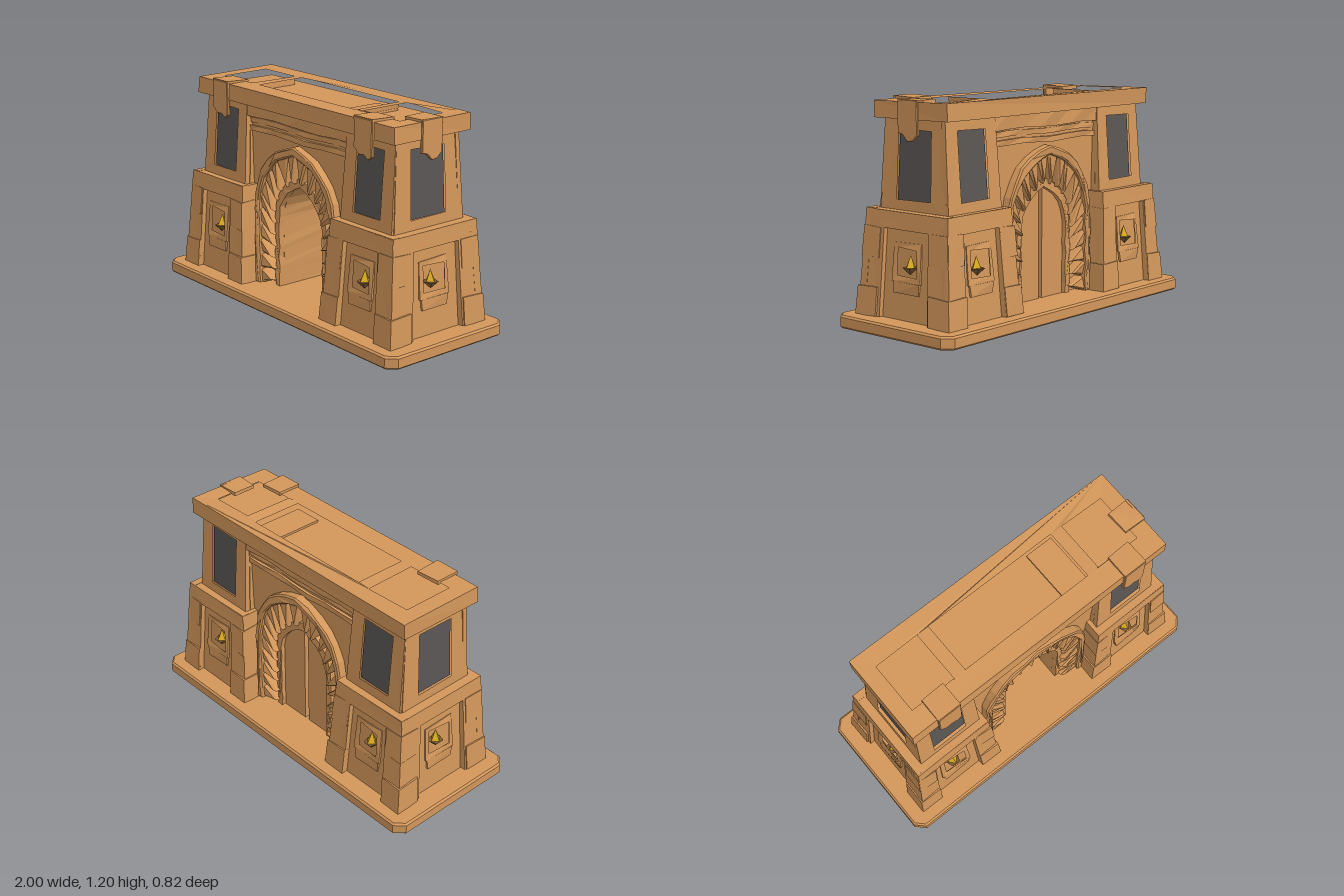
import * as THREE from 'three';

const mat = (name, color, extra = {}) => Object.assign(new THREE.MeshStandardMaterial({ color, flatShading: true, ...extra }), { name });
const V = (x, y) => new THREE.Vector2(x, y);

export function createModel() {
  const sand = mat('sandstone', 0xd2965a);
  const slate = mat('slate', 0x5a5654);
  const gold = mat('gold', 0xe0b020);
  const bronze = mat('bronze', 0x7d5c34);
  const root = new THREE.Group();
  root.name = 'desertGate';

  const add = (parent, name, geo, material = sand) => {
    const m = new THREE.Mesh(geo, material);
    m.name = name;
    parent.add(m);
    return m;
  };
  // move every vertex by a rule
  const warp = (geo, rule) => {
    const p = geo.attributes.position, v = new THREE.Vector3();
    for (let i = 0; i < p.count; i++) {
      rule(v.fromBufferAttribute(p, i));
      p.setXYZ(i, v.x, v.y, v.z);
    }
    geo.computeVertexNormals();
    return geo;
  };
  // slight hand-hewn irregularity, the same for equal positions
  const hew = (geo, a = 0.005) => warp(geo, v => {
    const { x, y, z } = v;
    v.x += a * Math.sin(41 * y + 23 * z + 17 * x);
    v.y += a * Math.sin(37 * x + 19 * z + 5 * y);
    v.z += a * Math.sin(29 * x + 43 * y + 13 * z);
  });
  const box = (w, h, d, x, y, z, seg = 1) => new THREE.BoxGeometry(w, h, d, seg, 1, 1).translate(x, y, z);
  const extrude = (shape, depth, bevel = 0) => new THREE.ExtrudeGeometry(shape, {
    depth: depth - 2 * bevel, bevelEnabled: bevel > 0, bevelThickness: bevel, bevelSize: bevel,
    bevelOffset: -bevel, bevelSegments: 1, curveSegments: 3,
  }).translate(0, 0, bevel);
  const rectPts = (x0, x1, y0, y1) => [V(x0, y0), V(x0, y1), V(x1, y1), V(x1, y0)];
  // a band between two outlines that both start and end at the ground
  const band = (outer, inner) => new THREE.Shape([...outer, ...inner.slice().reverse()]);
  const holed = (outer, ...holes) => {
    const s = new THREE.Shape(outer);
    s.holes = holes.map(h => new THREE.Path(h));
    return s;
  };

  // base slab
  const c = 0.05, slab = new THREE.Shape([V(-1 + c, -0.41), V(1 - c, -0.41), V(1, -0.41 + c), V(1, 0.41 - c),
    V(1 - c, 0.41), V(-1 + c, 0.41), V(-1, 0.41 - c), V(-1, -0.41 + c)]);
  add(root, 'baseSlab', extrude(slab, 0.07, 0.01).rotateX(-Math.PI / 2));

  // towers: one is the other turned half way round
  for (const side of [1, -1]) {
    const tower = new THREE.Group();
    tower.name = side > 0 ? 'leftTower' : 'rightTower';
    tower.rotation.y = side > 0 ? 0 : Math.PI;
    root.add(tower);

    const storey = (cx, hx, hz, y0, y1, sx, sz) => {
      const taper = geo => warp(geo, v => {
        const t = (v.y - y0) / (y1 - y0);
        v.x = cx + v.x * (1 - (1 - sx) * t);
        v.z *= 1 - (1 - sz) * t;
      });
      const faces = [[0, hx, hz], [Math.PI, hx, hz], [Math.PI / 2, hz - 0.01, hx]];
      return { taper, faces };
    };

    // lower storey
    {
      const hx = 0.275, hz = 0.33, y0 = 0.07, y1 = 0.63, inset = 0.085;
      const { taper, faces } = storey(0.63, hx, hz, y0, y1, 0.87, 0.88);
      add(tower, 'lowerCore', taper(box(2 * hx - inset, y1 - y0, 2 * (hz - inset), -inset / 2, 0.35, 0)));
      add(tower, 'lowerTop', taper(box(2 * hx, 0.05, 2 * hz, 0, 0.605, 0)));
      add(tower, 'innerSide', taper(box(0.08, y1 - y0, 2 * hz - 0.02, -hx + 0.04, 0.35, 0)));
      for (const [angle, half, dist] of faces) {
        const wide = angle === Math.PI / 2, pw = wide ? 0.175 : 0.15, n = wide ? 0.085 : 0.08;
        const put = (name, geo, z, m) => add(tower, name, taper(geo.translate(0, 0, z).rotateY(angle)), m);
        put('panelSurround', hew(extrude(band(rectPts(-half, half, y0, y1), rectPts(-pw, pw, y0, 0.54)), 0.05), 0.003), dist - 0.05);
        put('nichePanel', extrude(holed(rectPts(-pw - 0.02, pw + 0.02, y0, 0.56), rectPts(-n, n, 0.29, 0.46)), 0.06), dist - 0.09);
        put('nicheRim', hew(extrude(holed(rectPts(-n - 0.02, n + 0.015, 0.275, 0.475),
          rectPts(-n + 0.015, n - 0.015, 0.305, 0.445)), 0.02), 0.006), dist - 0.04);
        put('nicheSill', hew(box(2 * n + 0.02, 0.06, 0.02, 0, 0.245, 0), 0.006), dist - 0.03);
        put('lampBowl', new THREE.ConeGeometry(0.045, 0.04, 5).rotateX(Math.PI).translate(0, 0.325, 0), dist - 0.05, bronze);
        put('lampFlame', new THREE.ConeGeometry(0.034, 0.07, 4).translate(0, 0.375, 0), dist - 0.05, gold);
      }
      // corner stones
      for (const x of [-1, 1]) for (const z of [-1, 1]) {
        add(tower, 'footStone', taper(hew(box(0.135, 0.155, 0.15, x * (hx - 0.058), 0.147, z * (hz - 0.066)), 0.004)));
        add(tower, 'cornerStone', taper(hew(box(0.12, 0.16, 0.14, x * (hx - 0.056), 0.46, z * (hz - 0.066)), 0.004)));
      }
    }

    // upper storey
    {
      const hx = 0.2, hz = 0.245, y0 = 0.62, y1 = 1.11, inset = 0.03;
      const { taper, faces } = storey(0.615, hx, hz, y0, y1, 0.92, 0.88);
      add(tower, 'upperCore', taper(box(2 * hx - inset, y1 - y0, 2 * (hz - inset), -inset / 2, 0.865, 0)));
      for (const [angle, half, dist] of faces) {
        const w = angle === Math.PI / 2 ? 0.125 : 0.108;
        const put = (name, geo, z, m) => add(tower, name, taper(geo.translate(0, 0, z).rotateY(angle)), m);
        put('windowFrame', hew(extrude(holed(rectPts(-half, half, y0, y1), rectPts(-w, w, 0.685, 1.045)), inset), 0.003), dist - inset);
        put('windowPane', box(2 * w + 0.01, 0.37, 0.008, 0, 0.865, 0), dist - inset + 0.012, slate);
      }
    }
  }

  // pointed arch outline, from foot to foot
  const arch = (w, spring, top, n = 24) => new THREE.Path().moveTo(-w, 0.07).lineTo(-w, spring)
    .quadraticCurveTo(-w * 0.93, top - 0.06, 0, top)
    .quadraticCurveTo(w * 0.93, top - 0.06, w, spring).lineTo(w, 0.07).getSpacedPoints(n);
  const deep = (shape, half, bevel) => extrude(shape, 2 * half, bevel).translate(0, 0, -half);

  const outer = arch(0.355, 0.53, 0.92), mid = arch(0.315, 0.52, 0.87);
  const lip = arch(0.225, 0.5, 0.74), open = arch(0.188, 0.48, 0.69);
  const gate = new THREE.Group();
  gate.name = 'gatehouse';
  root.add(gate);
  add(gate, 'wall', deep(band(rectPts(-0.45, 0.45, 0.07, 1.11), mid), 0.185));
  add(gate, 'archBacking', deep(band(outer, open), 0.15));
  add(gate, 'archMoulding', hew(deep(band(outer, mid), 0.235, 0.008), 0.004));
  add(gate, 'doorSurround', hew(deep(band(lip, open), 0.185), 0.003));

  // carved wedge stones around the arch
  const teethOut = arch(0.325, 0.52, 0.88, 22), teethIn = arch(0.21, 0.5, 0.72, 44);
  for (let i = 0; i < 22; i++) {
    const tri = new THREE.Shape([teethOut[i], teethOut[i + 1], teethIn[2 * i + 1]]);
    add(gate, 'wedgeStone', hew(deep(tri, 0.215, 0.012), 0.006));
  }

  // cornice courses under the roof
  [[0.955, 0.03, 0.2], [1.0, 0.03, 0.192], [1.065, 0.08, 0.212]].forEach(([y, h, z]) =>
    add(gate, 'corniceCourse', hew(box(0.9, h, 2 * z, 0, y, 0, 7), 0.005)));

  // two door leaves with a narrow gap
  const [leafA, leafB] = [-1, 1].map(s => {
    const gap = s < 0 ? -0.012 : 0.016;
    const edge = open.filter(p => p.x * s > 0.02);
    const pts = s < 0 ? [...edge, V(gap, 0.685), V(gap, 0.07)] : [V(gap, 0.07), V(gap, 0.685), ...edge];
    return extrude(new THREE.Shape(pts), 0.035).translate(0, 0, -0.16);
  });
  add(gate, 'rightDoor', leafA);
  add(gate, 'leftDoor', leafB);

  // roof slab with three sunken trays
  const roof = new THREE.Group();
  roof.name = 'roof';
  root.add(roof);
  const rim = holed(rectPts(-0.835, 0.835, -0.26, 0.26), rectPts(-0.75, -0.48, -0.14, 0.16),
    rectPts(-0.41, 0.4, -0.14, 0.16), rectPts(0.475, 0.735, -0.14, 0.16));
  add(roof, 'roofRim', hew(extrude(rim, 0.09).rotateX(-Math.PI / 2).translate(0, 1.1, 0), 0.004));
  add(roof, 'roofFloor', box(1.6, 0.035, 0.48, 0, 1.1225, 0));
  add(roof, 'traySlab', box(0.165, 0.015, 0.3, 0.32, 1.145, -0.01));

  // cloths draped over the roof edge
  const cloth = (name, hem, reach, edge, angle, along) => {
    const g = new THREE.Group();
    g.name = name;
    const w = 0.07;
    add(g, 'clothTop', hew(box(2 * w, 0.02, reach, 0, 1.19, edge - reach / 2), 0.003));
    const drop = new THREE.Shape([V(-w, 1.2), ...hem.map(([x, y]) => V(x * w, y)), V(w, 1.2)]);
    add(g, 'clothDrop', extrude(drop, 0.02, 0.004).translate(0, 0, edge - 0.015));
    g.rotation.y = angle;
    g.position.set(...along);
    root.add(g);
  };
  const hem = [[-1, 1.04], [-0.45, 1.005], [0.1, 1.01], [0.6, 0.99], [1, 1.01]];
  cloth('frontRightCloth', hem, 0.14, 0.268, 0, [-0.61, 0, 0]);
  cloth('frontLeftCloth', hem, 0.14, 0.268, 0, [0.615, 0, 0]);
  cloth('leftSideCloth', [[-1, 1.03], [-0.5, 1.02], [0, 0.985], [0.5, 0.99], [1, 1.02]], 0.13, 0.84, Math.PI / 2, [0, 0, -0.01 + 0.02]);

  return root;
}
